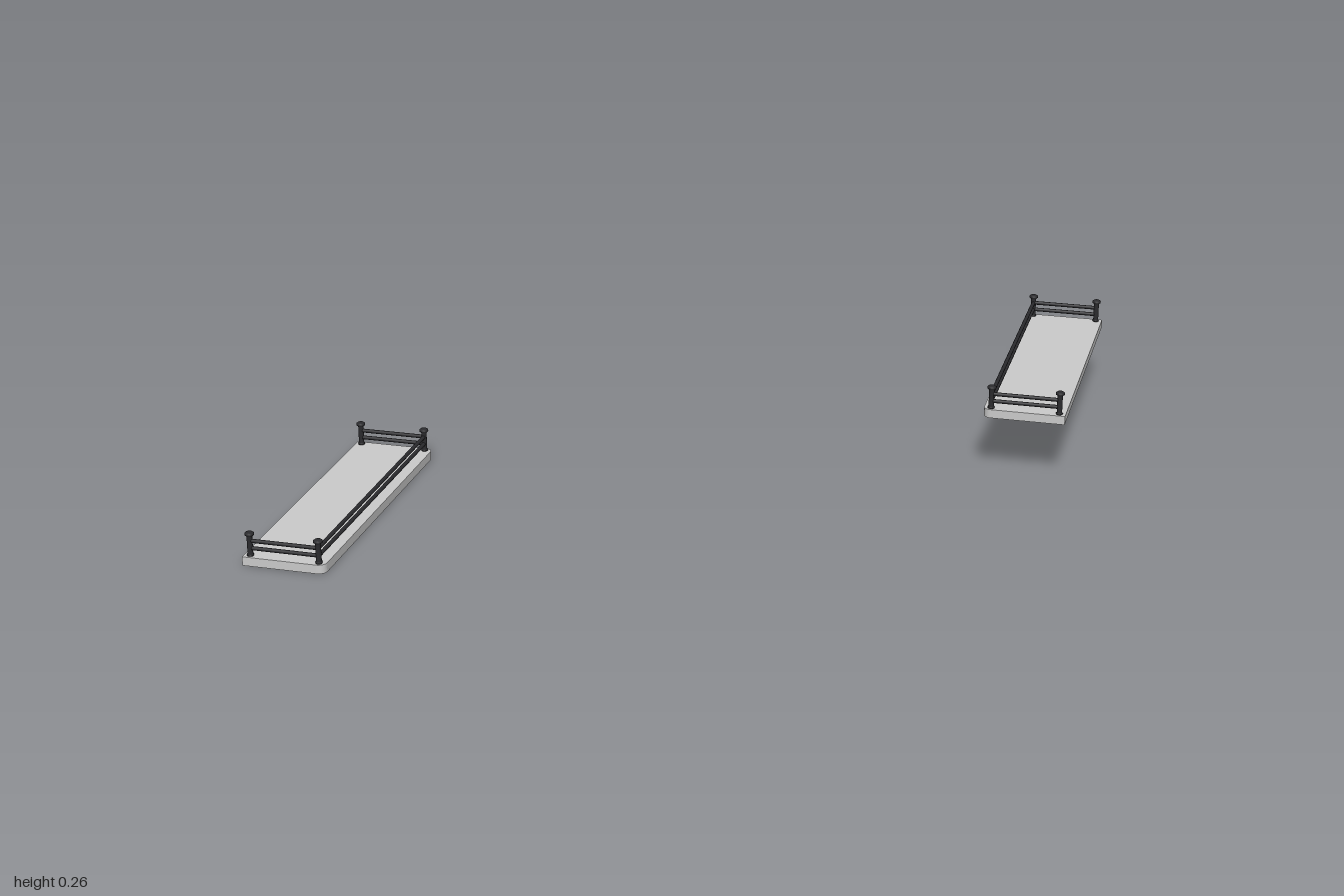
import * as THREE from 'three';

const slabMaterial = new THREE.MeshStandardMaterial({ color: 0xcccccc });
const railMaterial = new THREE.MeshStandardMaterial({ color: 0x2b2b2e });

const WIDTH = 0.23, LENGTH = 0.83, THICK = 0.025, CORNER = 0.022;
const POST_X = [0.018, 0.21];
const POST_Z = 0.4;
const RAIL_Y = [0.046, 0.067];

function add(group, name, geometry, material, x = 0, y = 0, z = 0) {
  const mesh = new THREE.Mesh(geometry, material);
  mesh.name = name;
  mesh.position.set(x, y, z);
  group.add(mesh);
  return mesh;
}

// Board with a straight wall edge at x = 0 and rounded outer corners
function slabGeometry() {
  const h = LENGTH / 2;
  const s = new THREE.Shape();
  s.moveTo(0, -h);
  s.lineTo(WIDTH - CORNER, -h);
  s.absarc(WIDTH - CORNER, -h + CORNER, CORNER, -Math.PI / 2, 0);
  s.lineTo(WIDTH, h - CORNER);
  s.absarc(WIDTH - CORNER, h - CORNER, CORNER, 0, Math.PI / 2);
  s.lineTo(0, h);
  s.closePath();
  const g = new THREE.ExtrudeGeometry(s, { depth: THICK, bevelEnabled: false, curveSegments: 8 });
  return g.rotateX(-Math.PI / 2);
}

// Turned post with a foot and a small flared cap
function postGeometry() {
  const profile = [
    [0, 0], [0.0095, 0], [0.0095, 0.004], [0.0075, 0.005], [0.0075, 0.055],
    [0.0125, 0.059], [0.0125, 0.064], [0.009, 0.067], [0, 0.067],
  ].map(([r, y]) => new THREE.Vector2(r, y));
  return new THREE.LatheGeometry(profile, 16);
}

function createShelf(name) {
  const shelf = new THREE.Group();
  shelf.name = name;
  add(shelf, 'board', slabGeometry(), slabMaterial);

  // Four corner posts
  for (const x of POST_X)
    for (const z of [-POST_Z, POST_Z]) add(shelf, 'post', postGeometry(), railMaterial, x, THICK, z);

  // Two levels of rail around three sides
  const [x0, x1] = POST_X;
  for (const y of RAIL_Y) {
    const longRail = new THREE.CylinderGeometry(0.0055, 0.0055, POST_Z * 2, 10).rotateX(Math.PI / 2);
    add(shelf, 'longRail', longRail, railMaterial, x1, y, 0);
    for (const z of [-POST_Z, POST_Z]) {
      const endRail = new THREE.CylinderGeometry(0.0055, 0.0055, x1 - x0, 10).rotateZ(Math.PI / 2);
      add(shelf, 'endRail', endRail, railMaterial, (x0 + x1) / 2, y, z);
    }
  }
  return shelf;
}

export function createModel() {
  const model = new THREE.Group();
  model.name = 'railedShelves';

  const lower = createShelf('lowerShelf');
  lower.position.set(-1, 0, 0.552);

  // The upper shelf faces the lower one
  const upper = createShelf('upperShelf');
  upper.position.set(1, 0.172, -0.552);
  upper.rotation.y = Math.PI;

  model.add(lower, upper);
  return model;
}
